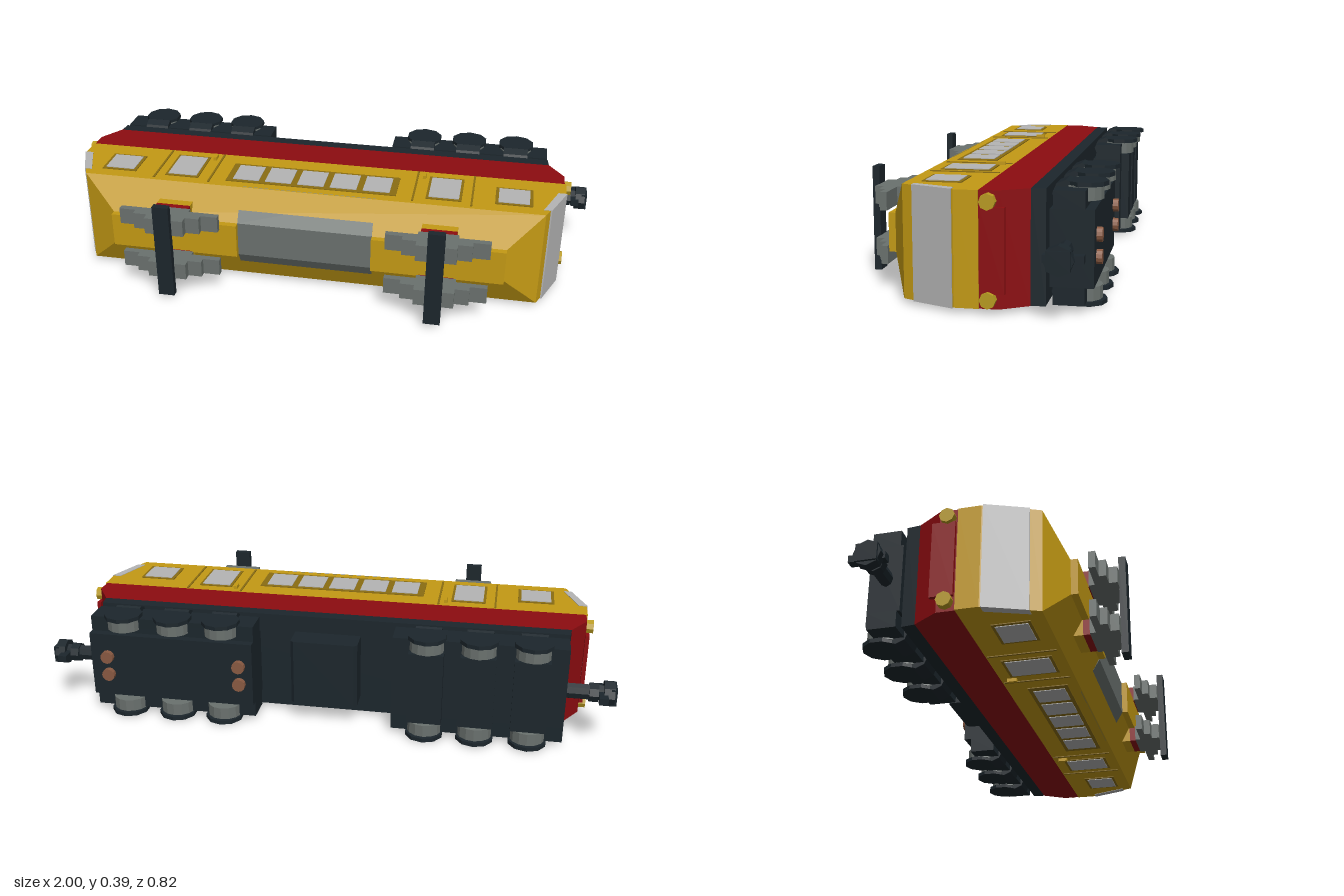
import * as THREE from 'three';

const mat = (color) => new THREE.MeshStandardMaterial({ color, flatShading: true });
const YELLOW = mat(0xc49a14), RED = mat(0x8c0c10), DARK = mat(0x1c262c), GREY = mat(0x6a716e),
  GLASS = mat(0xb4b4b4), LAMP = mat(0xb89a20), COPPER = mat(0x8a5a42), FRAME = mat(0x8a6d12);
const HALF = 0.178; // half the body width

// Built upright (x length, y height, z width), then laid on its side at the end.
export function createModel() {
  const loco = new THREE.Group();
  loco.name = 'locomotive';

  const add = (name, geometry, material, x = 0, y = 0, z = 0) => {
    const mesh = new THREE.Mesh(geometry, material);
    mesh.name = name;
    mesh.position.set(x, y, z);
    loco.add(mesh);
    return mesh;
  };
  // Box given by its limits
  const box = (name, m, x0, x1, y0, y1, z0, z1) =>
    add(name, new THREE.BoxGeometry(x1 - x0, y1 - y0, z1 - z0), m, (x0 + x1) / 2, (y0 + y1) / 2, (z0 + z1) / 2);
  // Side outline extruded across the width
  const slab = (name, m, pts, half) => {
    const shape = new THREE.Shape(pts.map(([x, y]) => new THREE.Vector2(x, y)));
    const g = new THREE.ExtrudeGeometry(shape, { depth: 2 * half, bevelEnabled: false });
    return add(name, g.translate(0, 0, -half), m);
  };
  // Outline given for +x only, mirrored to -x
  const mirrored = (pts) => [...pts, ...pts.slice().reverse().map(([x, y]) => [-x, y])];
  const disc = (name, m, r, len, sides, axis, x, y, z) => {
    const g = new THREE.CylinderGeometry(r, r, len, sides);
    if (axis === 'x') g.rotateZ(Math.PI / 2);
    if (axis === 'z') g.rotateX(Math.PI / 2);
    return add(name, g, m, x, y, z);
  };
  // Frustum with a rectangular base and top
  const frustum = (name, m, x0, z0, x1, z1, y0, y1) => {
    const g = new THREE.BoxGeometry(2, y1 - y0, 2);
    const p = g.attributes.position;
    for (let i = 0; i < p.count; i++) {
      const top = p.getY(i) > 0;
      p.setX(i, p.getX(i) * (top ? x1 : x0));
      p.setZ(i, p.getZ(i) * (top ? z1 : z0));
    }
    g.computeVertexNormals();
    return add(name, g, m, 0, (y0 + y1) / 2, 0);
  };

  // Body shell
  slab('chassis', DARK, mirrored([[0.835, -0.23], [0.84, -0.185]]), HALF);
  slab('lowerBody', RED, mirrored([[0.84, -0.185], [0.895, -0.1], [0.895, -0.04]]), HALF);
  slab('upperBody', YELLOW, mirrored([[0.9, -0.04], [0.9, 0.035], [0.845, 0.175], [0.83, 0.21]]), HALF);

  // Roof with a grey middle section
  frustum('roof', YELLOW, 0.83, HALF, 0.71, 0.063, 0.21, 0.272);
  frustum('roofMiddle', GREY, 0.243, HALF + 0.001, 0.243, 0.064, 0.205, 0.274);

  for (const s of [-1, 1]) {
    // Side windows, doors and trim
    const face = s * (HALF + 0.001);
    const panel = (name, m, x, y, w, h, d = 0.004) =>
      add(name, new THREE.BoxGeometry(w, h, d), m, x, y, face);
    panel('windowFrame', FRAME, 0, 0.102, 0.62, 0.14);
    for (let i = -2; i <= 2; i++) panel('window', GLASS, i * 0.119, 0.102, 0.096, 0.112, 0.009);
    for (const e of [-1, 1]) {
      panel('doorFrame', FRAME, e * 0.477, 0.085, 0.125, 0.17);
      panel('doorWindow', GLASS, e * 0.477, 0.085, 0.107, 0.15, 0.009);
      panel('cabWindowFrame', FRAME, e * 0.72, 0.1, 0.13, 0.125);
      panel('cabWindow', GLASS, e * 0.72, 0.1, 0.108, 0.105, 0.009);
      box('sideNub', YELLOW, e * 0.395 - 0.006, e * 0.395 + 0.006, -0.017, 0.017, face - 0.011, face + 0.011);
      for (const x of [0.37, 0.575]) panel('bodySeam', FRAME, e * x, 0.08, 0.007, 0.23);
    }
  }

  for (const e of [-1, 1]) {
    // Cab end: windscreen, lamps, panel and coupler
    const glass = [[0.872, 0.04], [0.903, 0.04], [0.85, 0.175], [0.822, 0.175]];
    slab('windscreen', GLASS, glass.map(([x, y]) => [e * x, y]), HALF + 0.002);
    box('endPanel', GLASS, e * 0.899 - 0.006, e * 0.899 + 0.006, -0.105, -0.06, -0.04, 0.035);
    box('endStep', RED, e * 0.9 - 0.007, e * 0.9 + 0.007, -0.12, -0.045, -0.13, 0.13);
    for (const s of [-1, 1]) disc('headlight', LAMP, 0.025, 0.03, 8, 'x', e * 0.905, -0.07, s * 0.147);
    const bar = disc('couplerBar', DARK, 0.022, 0.13, 8, 'x', e * 0.895, -0.29, 0);
    bar.scale.z = 1.3;
    disc('couplerCollar', DARK, 0.034, 0.03, 8, 'x', e * 0.925, -0.29, 0);
    disc('couplerHead', DARK, 0.045, 0.035, 8, 'x', e * 0.975, -0.29, 0);
    box('couplerHook', DARK, e * 0.955 - 0.015, e * 0.955 + 0.015, -0.36, -0.24, -0.012, 0.012);
    box('couplerPin', DARK, e * 0.99 - 0.01, e * 0.99 + 0.01, -0.325, -0.255, -0.03, 0.03);

    // Pantograph on its raised base
    const px = e * 0.477;
    box('roofWalkway', YELLOW, Math.min(e * 0.243, e * 0.71), Math.max(e * 0.243, e * 0.71), 0.26, 0.295, -0.063, 0.063);
    for (const s of [-1, 1]) {
      const rail = (name, m, half, y0, y1) => {
        const a = s * 0.058, b = s * 0.118;
        box(name, m, px - half, px + half, y0, y1, Math.min(a, b), Math.max(a, b));
      };
      rail('pantographBase', YELLOW, 0.062, 0.21, 0.275);
      rail('pantographMount', RED, 0.062, 0.275, 0.298);
      rail('pantographFoot', GREY, 0.07, 0.298, 0.32);
      rail('pantographArmLow', GREY, 0.18, 0.318, 0.341);
      rail('pantographArmMiddle', GREY, 0.12, 0.341, 0.365);
      rail('pantographArmTop', GREY, 0.07, 0.365, 0.394);
    }
    box('contactBar', DARK, px - 0.029, px + 0.029, 0.392, 0.416, -HALF, HALF);

    // Bogie
    const cx = e * 0.538;
    box('bogieFrame', DARK, cx - 0.295, cx + 0.295, e > 0 ? -0.373 : -0.345, -0.24, -0.118, 0.118);
    box('bogiePivot', DARK, cx - 0.14, cx + 0.14, -0.25, -0.225, -0.1, 0.1);
    for (const s of [-1, 1]) {
      box('bogieSideBeam', DARK, cx - 0.295, cx + 0.295, -0.345, -0.25, s * 0.145 - 0.028, s * 0.145 + 0.028);
    }
    for (const wx of [0.36, 0.535, 0.715]) {
      for (const s of [-1, 1]) {
        disc('wheel', GREY, 0.062, 0.045, 14, 'z', e * wx, -0.325, s * 0.155);
        disc('wheelCover', DARK, 0.067, 0.014, 10, 'z', e * wx, -0.335, s * 0.182);
        disc('axleBox', DARK, 0.042, 0.09, 8, 'x', e * wx, -0.277, s * 0.151);
      }
      // Ribbed underside on one bogie only
      if (e < 0) box('axleHousing', DARK, -wx - 0.06, -wx + 0.06, -0.375, -0.33, -0.13, 0.13);
    }
    if (e > 0) {
      for (const x of [0.29, 0.77]) for (const z of [-0.034, 0.034])
        disc('copperStud', COPPER, 0.023, 0.018, 12, 'y', x, -0.382, z);
    }
  }

  // Chamfered tank under the middle
  slab('underTank', DARK, mirrored([[0.118, -0.225], [0.118, -0.31], [0.107, -0.32]]), 0.118);

  loco.rotation.x = Math.PI / 2;
  loco.position.y = 0.195;
  const root = new THREE.Group();
  root.name = 'model';
  root.add(loco);
  return root;
}
